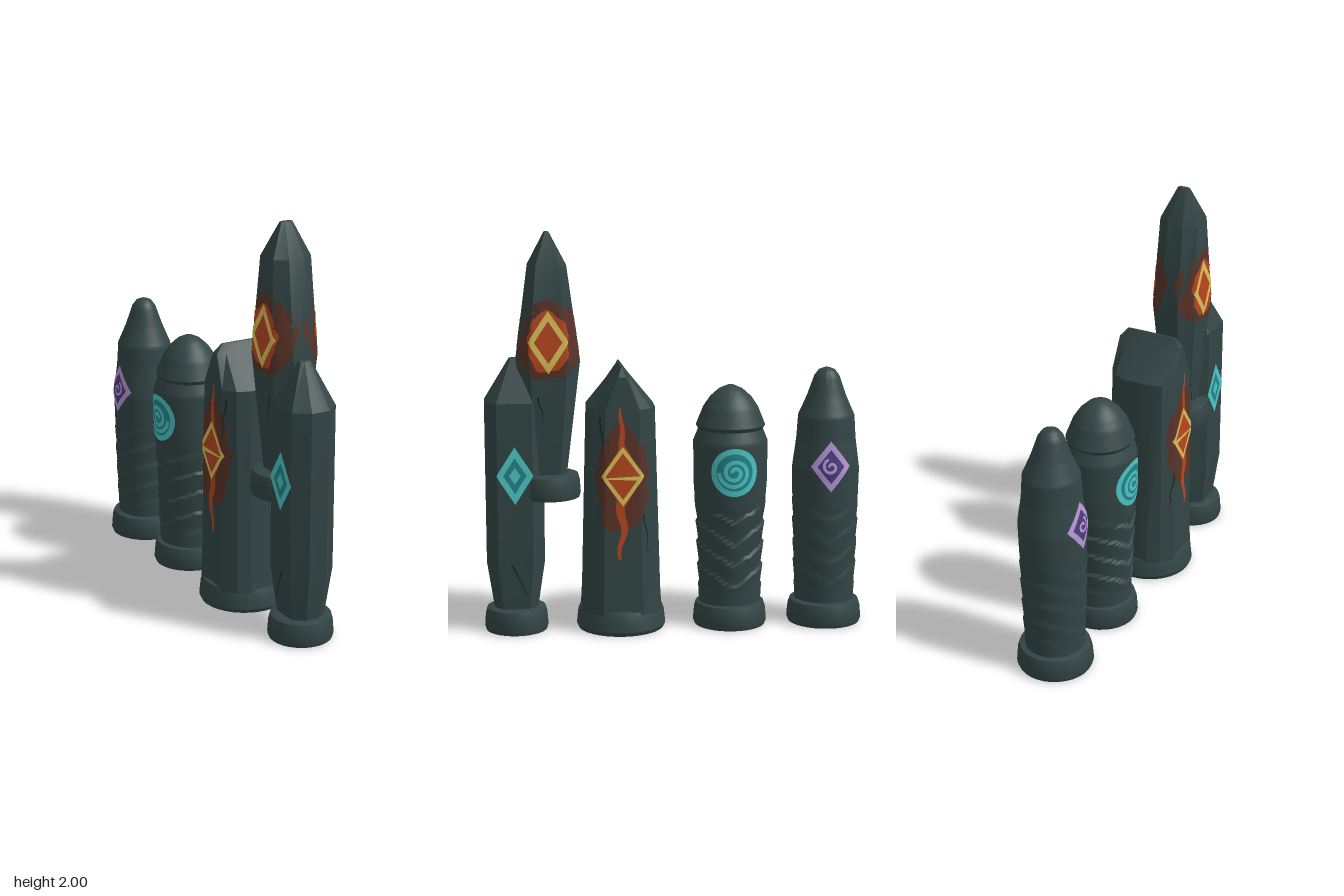
import * as THREE from 'three';
import { toCreasedNormals } from 'three/addons/utils/BufferGeometryUtils.js';

const mat = (name, color, side = THREE.DoubleSide) => {
  const m = new THREE.MeshStandardMaterial({ color, side });
  m.name = name;
  return m;
};

// Grid of quads from a rule p(i, j) -> [x, y, z]
function grid(nu, nv, p) {
  const pos = [], idx = [], w = nu + 1;
  for (let j = 0; j <= nv; j++) for (let i = 0; i <= nu; i++) pos.push(...p(i, j));
  for (let j = 0; j < nv; j++) for (let i = 0; i < nu; i++) {
    const a = j * w + i;
    idx.push(a, a + w, a + 1, a + 1, a + w, a + w + 1);
  }
  const g = new THREE.BufferGeometry();
  g.setAttribute('position', new THREE.Float32BufferAttribute(pos, 3));
  g.setIndex(idx);
  g.computeVertexNormals();
  return g;
}

// Quarter cross-sections from +x to +z, in units of the half widths
const CRYSTAL = [[1, 0], [1, 0.6], [0.4, 1], [0, 1]];
const SLAB = [[1, 0], [1, 0.5], [0.74, 0.85], [0.4, 1], [0, 1]];
const ROUND = Array.from({ length: 13 }, (_, i) => [Math.cos(i * Math.PI / 24), Math.sin(i * Math.PI / 24)]);

function fullLoop(q) {
  const half = [...q, ...q.slice(0, -1).reverse().map(([x, z]) => [-x, z])];
  return [...half, ...half.slice(0, -1).reverse().map(([x, z]) => [x, -z])];
}

// Half widths [a, b] at height y of a profile of [y, b, a] rows (a follows b if left out)
function widths(profile, y) {
  let k = 1;
  while (k < profile.length - 1 && profile[k][0] < y) k++;
  const [y0, b0, a0 = b0 * 0.97] = profile[k - 1], [y1, b1, a1 = b1 * 0.97] = profile[k];
  const t = THREE.MathUtils.clamp((y - y0) / (y1 - y0), 0, 1);
  return [a0 + (a1 - a0) * t, b0 + (b1 - b0) * t];
}

function shaftGeometry({ section, profile, step = 9, bump = () => 0, crease = 0.4 }) {
  const ys = [profile[0][0]];
  for (let k = 1; k < profile.length; k++) {
    const y0 = profile[k - 1][0], d = profile[k][0] - y0, n = Math.ceil(d / step);
    for (let i = 1; i <= n; i++) ys.push(y0 + d * i / n);
  }
  const loop = fullLoop(section);
  const g = grid(loop.length - 1, ys.length, (i, j) => {
    const y = ys[Math.min(j, ys.length - 1)], [a, b] = widths(profile, y), [x, z] = loop[i];
    const s = j === ys.length ? 0 : 1 + bump(y, z);
    return [x * a * s, y, z * b * s];
  });
  return toCreasedNormals(g, crease);
}

// Point on the shaft skin: u runs round the section from the side's middle
function onSkin({ section, profile }, side, u, y, lift) {
  const [a, b] = widths(profile, y);
  let left = Math.abs(u), x = 0, z = b;
  for (let k = 1; k < section.length; k++) {
    const [x0, z0] = [section[k - 1][0] * a, section[k - 1][1] * b];
    const [dx, dz] = [section[k][0] * a - x0, section[k][1] * b - z0];
    const len = Math.hypot(dx, dz);
    if (left <= len) { x = x0 + dx * left / len; z = z0 + dz * left / len; break; }
    left -= len;
  }
  const s = 1 + lift / Math.hypot(x, z);
  return [side * x * s, y, Math.sign(u) * z * s];
}

// Outlines as radius against angle
const diamond = (w, h) => t => 1 / (Math.abs(Math.cos(t)) / w + Math.abs(Math.sin(t)) / h);
const oval = (w, h, rough = 0) => t =>
  (1 + rough * (Math.sin(5 * t + 1) + Math.sin(9 * t))) / Math.hypot(Math.cos(t) / w, Math.sin(t) / h);

// Painted area round height y0, with an optional hole of k times its size
const area = (y0, outline, k = 0) => ({ nu: 48, nv: 8, at: (i, j) => {
  const t = i / 48 * Math.PI * 2, r = outline(t) * (k + (1 - k) * j / 8);
  return [r * Math.cos(t), y0 + r * Math.sin(t)];
} });

// Painted stroke along a path f(t) -> [u, y], with width w(t)
const stroke = (f, w, n) => ({ nu: n, nv: 1, at: (i, j) => {
  const t = i / n, p = f(t), q = f(t + 0.01), d = [q[0] - p[0], q[1] - p[1]];
  const k = (j - 0.5) * w(t) / (Math.hypot(...d) || 1);
  return [p[0] - d[1] * k, p[1] + d[0] * k];
} });
const line = (u0, y0, u1, y1, w, wave = 0) => stroke(
  t => [u0 + (u1 - u0) * t + wave * Math.sin(t * 9), y0 + (y1 - y0) * t], t => w * (1 - 0.7 * t), 12);
const spiral = (y0, r0, r1, turns, w) => stroke(t => {
  const a = t * turns * Math.PI * 2, r = r0 + (r1 - r0) * t;
  return [r * Math.cos(a), y0 + r * Math.sin(a)];
}, () => w, 60);

// V-shaped carved folds round the lower shaft
const folds = amp => (y, z) => {
  const fade = THREE.MathUtils.smoothstep(y, 0.15, 0.25) * (1 - THREE.MathUtils.smoothstep(y, 0.58, 0.67));
  const ph = (y - 0.1 * Math.abs(z)) / 0.11;
  return amp * fade * (ph - Math.floor(ph) - 0.5);
};

// One pillar: shaft, foot, and paint layers given as [name, material, patch]
function pillar(name, z, footY, footR, stone, body, paint) {
  const group = new THREE.Group();
  group.name = name;
  group.position.z = z;
  const add = (part, geo, m) => {
    const mesh = new THREE.Mesh(geo, m);
    mesh.name = part;
    group.add(mesh);
  };
  add('shaft', shaftGeometry(body), stone);

  // Worn, bevelled foot
  const foot = [[0, 0], [0.96, 0], [1, 0.02], [0.97, 0.085], [0.92, 0.115], [0.8, 0.122], [0, 0.122]]
    .map(([k, h]) => new THREE.Vector2(k * footR, footY + h));
  add('foot', toCreasedNormals(new THREE.LatheGeometry(foot, 32), 0.5), stone);

  // Paint on both sides, each layer a hair above the last
  for (const side of [1, -1]) paint.forEach(([part, m, d], k) =>
    add(part, grid(d.nu, d.nv, (i, j) => onSkin(body, side, ...d.at(i, j), 0.002 + 0.0012 * k)), m));
  return group;
}

export function createModel() {
  const stone = mat('slate stone', 0x334545, THREE.FrontSide);
  const crack = mat('dark crack', 0x1a2424);
  const glow = mat('ember glow', 0x5a3328);
  const ember = mat('ember orange', 0xb5461f);
  const gold = mat('gold', 0xdcc058);
  const teal = mat('bright teal', 0x4cc6c4);
  const deepTeal = mat('deep teal', 0x23868c);
  const lilac = mat('lilac', 0xb797d6);
  const purple = mat('purple', 0x4b3d7c);
  const model = new THREE.Group();
  model.name = 'runePillars';

  // Front crystal with a teal diamond
  const frontProfile = [[0.1, 0.106, 0.09], [0.36, 0.145, 0.12], [1.17, 0.145, 0.12], [1.38, 0.02, 0.028]];
  model.add(pillar('frontCrystalPillar', 0.807, 0, 0.16, stone, { section: CRYSTAL, profile: frontProfile }, [
    ['runeFill', deepTeal, area(0.81, diamond(0.085, 0.14))],
    ['runeFrame', teal, area(0.81, diamond(0.09, 0.145), 0.62)],
    ['runeCentre', teal, area(0.81, diamond(0.028, 0.042))],
    ['crack', crack, line(0.02, 0.36, -0.05, 0.2, 0.008)],
  ]));

  // Raised crystal with a glowing gold diamond
  const raisedProfile = [[0.77, 0.085, 0.075], [1.37, 0.158, 0.122], [1.84, 0.095, 0.102], [2, 0.012, 0.03]];
  model.add(pillar('raisedCrystalPillar', 0.635, 0.68, 0.158, stone, { section: CRYSTAL, profile: raisedProfile }, [
    ['runeGlow', glow, area(1.48, oval(0.2, 0.19, 0.03))],
    ['runeFill', ember, area(1.47, oval(0.105, 0.15, 0.04))],
    ['runeFrame', gold, area(1.47, diamond(0.1, 0.155), 0.67)],
    ['crack', crack, line(0.05, 1.2, 0.02, 1.05, 0.008, 0.004)],
  ]));

  // Broad gabled pillar with a barred diamond and flames
  const gabledProfile = [[0.1, 0.2, 0.19], [0.22, 0.193, 0.187], [1.14, 0.168, 0.178], [1.3, 0.038, 0.168], [1.345, 0.006, 0.13]];
  model.add(pillar('gabledPillar', 0.278, 0, 0.225, stone, { section: SLAB, profile: gabledProfile }, [
    ['runeGlow', glow, area(0.79, oval(0.135, 0.27, 0.05))],
    ['runeFill', ember, area(0.81, diamond(0.1, 0.17))],
    ['upperFlame', ember, line(0, 0.92, 0.01, 1.15, 0.035, 0.004)],
    ['lowerFlame', ember, line(0, 0.7, 0.01, 0.39, 0.05, 0.012)],
    ['runeFrame', gold, area(0.81, diamond(0.106, 0.15), 0.78)],
    ['runeBar', gold, line(-0.08, 0.8, 0.08, 0.8, 0.022)],
    ['crack', crack, line(0.11, 1.1, 0.09, 0.9, 0.009, 0.004)],
    ['crack', crack, line(-0.1, 0.62, -0.13, 0.42, 0.009, 0.006)],
  ]));

  // Round domed pillar with a teal spiral
  const domedProfile = [[0.1, 0.156], [0.5, 0.168], [0.75, 0.186], [0.95, 0.187], [1.01, 0.163],
    [1.03, 0.174], [1.12, 0.138], [1.17, 0.104], [1.21, 0.06], [1.23, 0.015]];
  const domed = { section: ROUND, profile: domedProfile, step: 0.015, crease: 0.6, bump: folds(0.07) };
  model.add(pillar('domedPillar', -0.278, 0, 0.187, stone, domed, [
    ['runeFill', deepTeal, area(0.815, oval(0.115, 0.118, 0.01))],
    ['runeFrame', teal, area(0.815, oval(0.12, 0.122), 0.77)],
    ['runeSpiral', teal, spiral(0.815, 0.012, 0.078, 2, 0.02)],
  ]));

  // Rear pillar with a small knob and a lilac diamond
  const cappedProfile = [[0.1, 0.15], [0.4, 0.16], [0.8, 0.17], [0.95, 0.15], [1.07, 0.142],
    [1.1, 0.128], [1.17, 0.098], [1.27, 0.063], [1.3, 0.04], [1.31, 0.015]];
  const capped = { section: ROUND, profile: cappedProfile, step: 0.015, crease: 0.6, bump: folds(0.045) };
  model.add(pillar('cappedPillar', -0.765, 0, 0.19, stone, capped, [
    ['runeFill', purple, area(0.83, diamond(0.095, 0.12))],
    ['runeFrame', lilac, area(0.83, diamond(0.102, 0.128), 0.67)],
    ['runeSpiral', lilac, spiral(0.83, 0.008, 0.04, 1.2, 0.014)],
  ]));
  return model;
}
